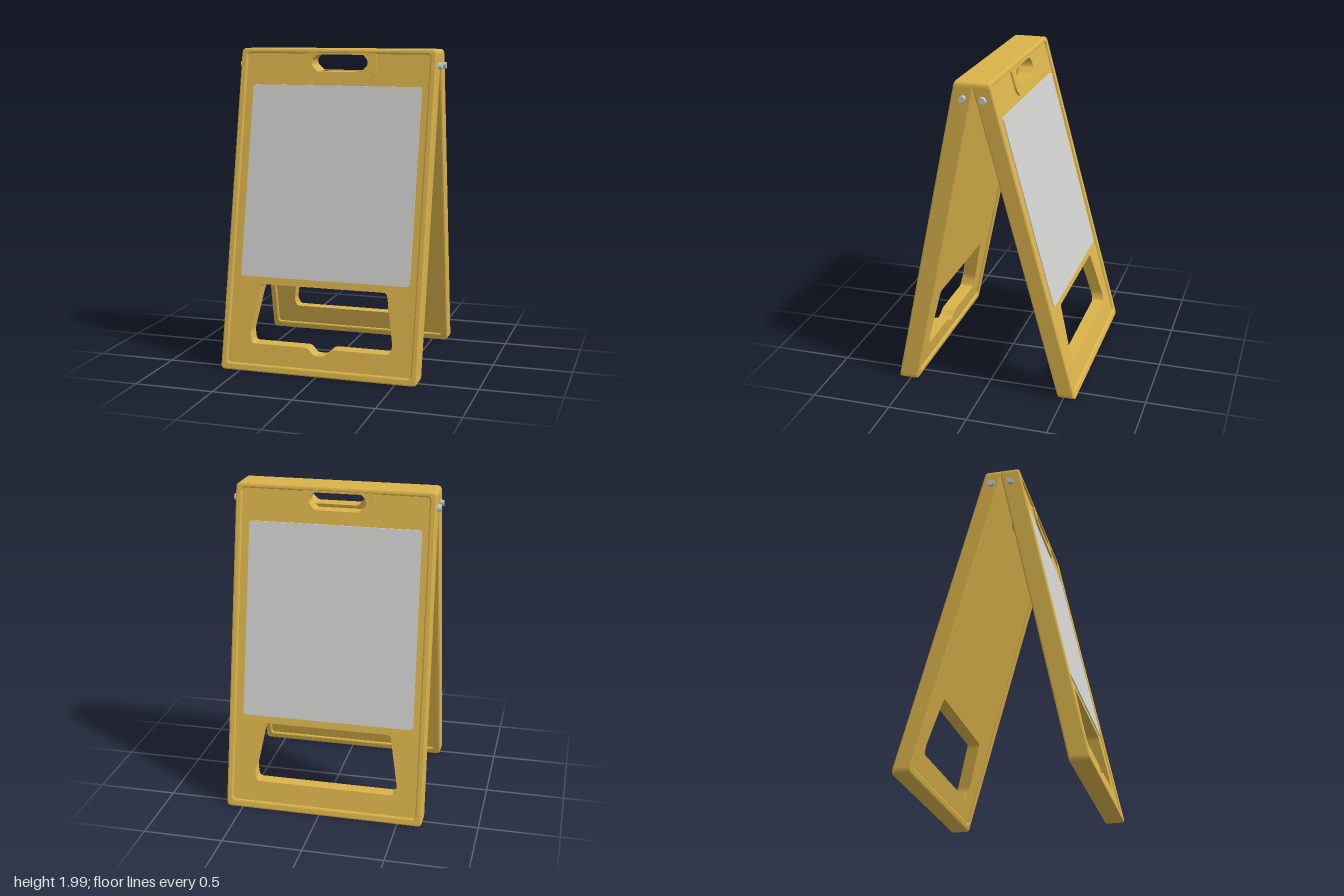
import * as THREE from 'three';

const yellow = new THREE.MeshStandardMaterial({ color: 0xd9b24a });
yellow.name = 'yellow plastic';
const white = new THREE.MeshStandardMaterial({ color: 0xd0d0ce });
white.name = 'pale grey sheet';
const metal = new THREE.MeshStandardMaterial({ color: 0xc4c8cc });
metal.name = 'bolt metal';

const BOTTOM = 0.01, TOP = 2, HALF = 0.632;

// Closed outline with each corner cut by a small curve
function rounded(points, r, Type = THREE.Shape) {
  const path = new Type();
  const pts = points.map(([x, y]) => new THREE.Vector2(x, y));
  pts.forEach((p, i) => {
    const prev = pts[(i + pts.length - 1) % pts.length];
    const next = pts[(i + 1) % pts.length];
    const a = p.clone().add(prev.clone().sub(p).setLength(r));
    const b = p.clone().add(next.clone().sub(p).setLength(r));
    if (i === 0) path.moveTo(a.x, a.y);
    else path.lineTo(a.x, a.y);
    path.quadraticCurveTo(p.x, p.y, b.x, b.y);
  });
  path.closePath();
  return path;
}

const rect = (x0, y0, x1, y1) => [[x0, y0], [x1, y0], [x1, y1], [x0, y1]];

// Extrusion filling the depth range d0..d1, with the bevel kept inside it
function slab(shape, d0, d1, bevel = 0) {
  const geo = new THREE.ExtrudeGeometry(shape, {
    depth: d1 - d0 - 2 * bevel, curveSegments: 4, bevelEnabled: bevel > 0,
    bevelThickness: bevel, bevelSize: bevel, bevelOffset: -bevel, bevelSegments: 2,
  });
  return geo.translate(0, 0, d0 + bevel);
}

const handleHole = () => rounded(
  [[-0.12, 1.86], [0.16, 1.86], [0.2, 1.9], [0.2, 1.93], [0.17, 1.965], [-0.13, 1.965], [-0.16, 1.93], [-0.16, 1.9]],
  0.012, THREE.Path);

// Large lower opening, optionally with the small notch in its sill
function legHole(notched) {
  const sill = notched ? [[-0.07, 0.18], [-0.03, 0.135], [0.04, 0.135], [0.08, 0.18]] : [];
  return rounded(
    [[-0.44, 0.18], ...sill, [0.45, 0.18], [0.465, 0.23], [0.41, 0.545], [-0.4, 0.545], [-0.455, 0.25]],
    0.022, THREE.Path);
}

// One leaning board; depth runs from 0 (inside) to t (outside)
function createBoard(name, { t, inner, lean, skew, shift, notched }) {
  const board = new THREE.Group();
  board.name = name;
  const shear = new THREE.Matrix4().set(
    1, skew, 0, shift,
    0, 1, 0, 0,
    0, -lean, 1, inner + lean * 1.95,
    0, 0, 0, 1);
  const add = (part, geo, mat) => {
    const mesh = new THREE.Mesh(geo.applyMatrix4(shear), mat);
    mesh.name = part;
    board.add(mesh);
  };

  // Raised rim around the edge
  const rim = rounded(rect(-HALF, BOTTOM, HALF, TOP), 0.03);
  rim.holes.push(rounded(rect(-HALF + 0.042, BOTTOM + 0.045, HALF - 0.042, TOP - 0.03), 0.02, THREE.Path));
  add('rim', slab(rim, 0, t, 0.01), yellow);

  // Recessed board with both openings
  const face = rounded(rect(-HALF + 0.02, BOTTOM + 0.02, HALF - 0.02, TOP - 0.015), 0.02);
  face.holes.push(handleHole(), legHole(notched));
  add('panel', slab(face, 0.018, t - 0.014), yellow);

  // Raised surround of the hand grip
  const lip = rounded(
    [[-0.17, 1.805], [0.21, 1.805], [0.255, 1.85], [0.255, 1.975], [-0.21, 1.975], [-0.21, 1.85]], 0.02);
  lip.holes.push(handleHole());
  add('handleSurround', slab(lip, t - 0.016, t), yellow);

  // Blank sheet
  const sheet = rounded(rect(-0.54, 0.59, 0.55, 1.775), 0.02);
  add('sheet', slab(sheet, t - 0.015, t - 0.007), white);

  // Hinge bolts on both edges
  for (const side of [-1, 1]) {
    const bolt = new THREE.CylinderGeometry(0.02, 0.022, 0.03, 10);
    bolt.rotateZ(-side * Math.PI / 2).translate(side * (HALF + 0.008), 1.9, t * 0.42);
    add(side > 0 ? 'leftBolt' : 'rightBolt', bolt, metal);
  }
  return board;
}

export function createModel() {
  const model = new THREE.Group();
  model.name = 'foldingSignBoard';
  const front = createBoard('frontBoard',
    { t: 0.125, inner: 0.05, lean: 0.207, skew: 0.005, shift: 0.005, notched: true });
  const back = createBoard('backBoard',
    { t: 0.112, inner: -0.05, lean: 0.266, skew: -0.02, shift: 0.025, notched: false });
  back.rotation.y = Math.PI;
  model.add(front, back);
  return model;
}
